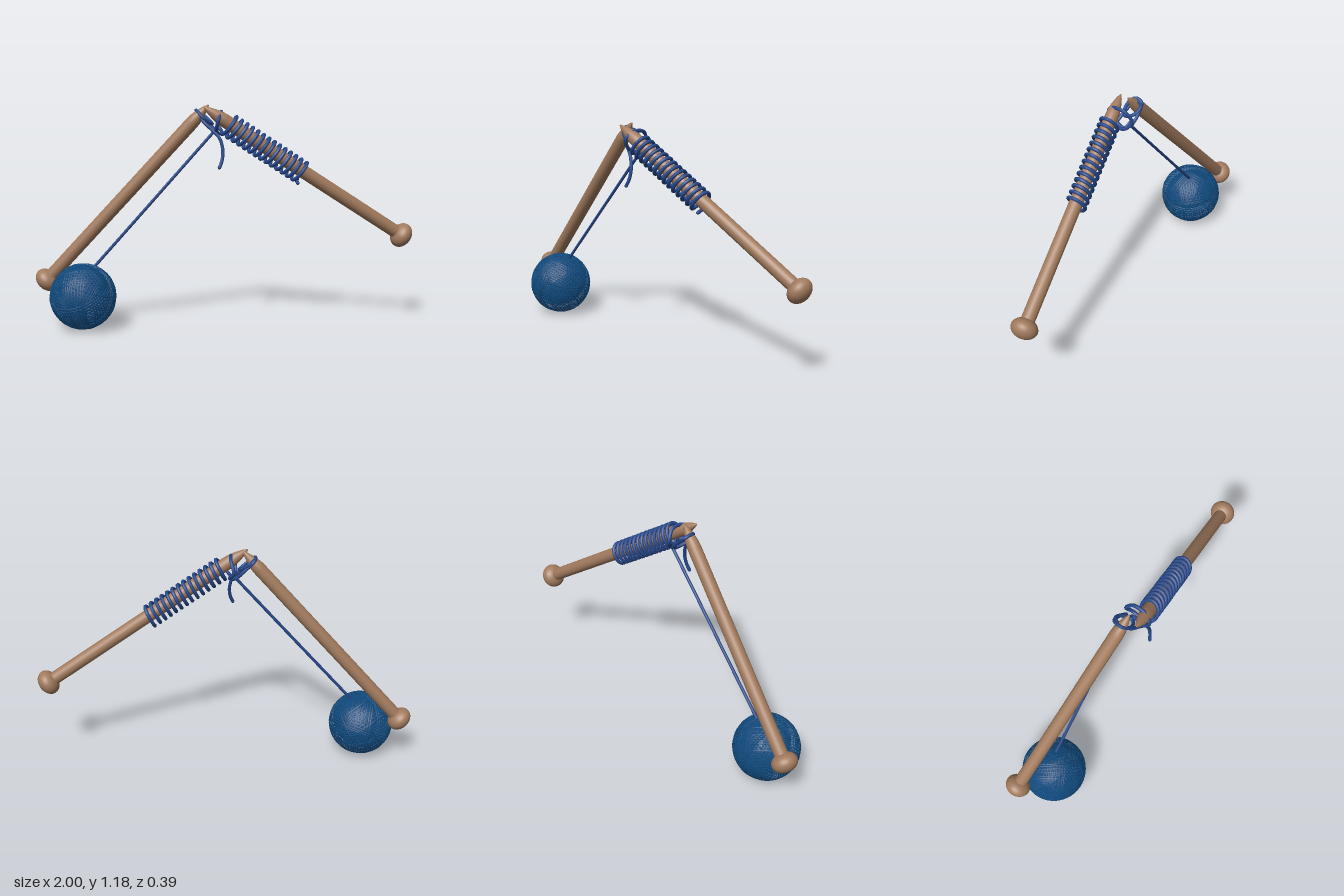
import * as THREE from 'three';

const V = (x, y, z) => new THREE.Vector3(x, y, z);
const UP = V(0, 1, 0);

export function createModel() {
  const model = new THREE.Group();
  model.name = 'knittingSet';

  const material = (name, color) => {
    const m = new THREE.MeshStandardMaterial({ color });
    m.name = name;
    return m;
  };
  const wood = material('wood', 0xa27b5e);
  const ballBlue = material('ballBlue', 0x0f4c81);
  const yarnBlue = material('yarnBlue', 0x27488a);

  const add = (parent, name, geometry, mat) => {
    const mesh = new THREE.Mesh(geometry, mat);
    mesh.name = name;
    parent.add(mesh);
    return mesh;
  };

  // Needle: flattened knob at one end, straight shaft, pointed tip
  const needle = (name, knob, tip) => {
    const g = new THREE.Group();
    g.name = name;
    const length = knob.distanceTo(tip);
    const profile = [
      [0, 0], [0.035, 0], [0.035, length - 0.13], [0.033, length - 0.1],
      [0.026, length - 0.065], [0.014, length - 0.025], [0.004, length - 0.003], [0, length],
    ].map(([r, y]) => new THREE.Vector2(r, y));
    add(g, 'shaft', new THREE.LatheGeometry(profile, 24), wood);
    add(g, 'knob', new THREE.SphereGeometry(0.068, 28, 18), wood).scale.y = 0.75;
    g.position.copy(knob);
    g.quaternion.setFromUnitVectors(UP, tip.clone().sub(knob).normalize());
    model.add(g);
  };
  const knobB = V(0.944, 0.475, 0.115);
  const tipB = V(-0.135, 1.168, 0.146);
  needle('backNeedle', V(-0.939, 0.248, -0.12), V(-0.1, 1.178, 0.09));
  needle('frontNeedle', knobB, tipB);

  // Yarn ball: core wrapped by bands of parallel strands on several axes
  const ball = new THREE.Group();
  ball.name = 'yarnBall';
  ball.position.set(-0.755, 0.176, -0.01);
  model.add(ball);
  add(ball, 'core', new THREE.SphereGeometry(0.17, 48, 32), ballBlue);
  const axes = 9;
  for (let a = 0; a < axes; a++) {
    const y = 1 - (a + 0.5) / axes;
    const r = Math.sqrt(1 - y * y);
    const band = new THREE.Group();
    band.name = 'windingBand';
    band.quaternion.setFromUnitVectors(V(0, 0, 1), V(r * Math.cos(a * 2.4), y, r * Math.sin(a * 2.4)));
    ball.add(band);
    for (let i = -4; i <= 4; i++) {
      const d = i * 0.0135;
      const radius = Math.sqrt(0.1685 ** 2 - d * d);
      const strand = add(band, 'winding', new THREE.TorusGeometry(radius, 0.005, 5, 56), ballBlue);
      strand.position.z = d;
      strand.rotation.set(0.03 * Math.sin(a + i), 0.03 * Math.cos(a * 2 + i), 0);
    }
  }

  // Loose yarn is a tube along a smooth path, closed by round ends
  const yarn = (name, points, segments, radius = 0.009) => {
    const g = new THREE.Group();
    g.name = name;
    const path = new THREE.CatmullRomCurve3(points);
    add(g, 'strand', new THREE.TubeGeometry(path, segments, radius, 8), yarnBlue);
    for (const p of [points[0], points[points.length - 1]]) {
      add(g, 'strandEnd', new THREE.SphereGeometry(radius, 8, 6), yarnBlue).position.copy(p);
    }
    model.add(g);
  };

  // Taut strand from the ball to the knot
  yarn('tautStrand', [V(-0.72, 0.3, -0.026), V(-0.39, 0.672, 0.012), V(-0.06, 1.045, 0.05)], 24, 0.008);

  // Knot around the back needle, running out into the hanging tail
  yarn('knotAndTail', [
    V(-0.06, 1.045, 0.05), V(-0.1, 1.09, 0.034), V(-0.15, 1.138, 0.036), V(-0.162, 1.148, 0.08),
    V(-0.13, 1.11, 0.115), V(-0.085, 1.08, 0.1), V(-0.09, 1.095, 0.052), V(-0.13, 1.13, 0.03),
    V(-0.155, 1.135, 0.07), V(-0.125, 1.085, 0.116), V(-0.09, 1.05, 0.135), V(-0.055, 1.01, 0.155),
    V(-0.04, 0.95, 0.168), V(-0.045, 0.9, 0.177), V(-0.06, 0.862, 0.185),
  ], 130);

  // Cast-on stitches: a link from the knot, then a coil around the front needle
  const along = knobB.clone().sub(tipB).normalize();
  const side = along.clone().cross(UP).normalize();
  const over = side.clone().cross(along).normalize();
  const points = [
    V(-0.085, 1.06, 0.06), V(-0.05, 1.03, 0.085), V(-0.07, 1.05, 0.15), V(-0.065, 1.1, 0.18),
    V(-0.045, 1.138, 0.145), V(-0.035, 1.135, 0.075), V(-0.045, 1.08, 0.04), V(-0.03, 1.04, 0.07),
  ];
  const turns = 14, steps = 12;
  for (let i = 0; i <= turns * steps; i++) {
    const angle = -Math.PI / 2 + (i / steps) * Math.PI * 2;
    points.push(tipB.clone()
      .addScaledVector(along, 0.155 + 0.48 * (i / (turns * steps)))
      .addScaledVector(over, 0.058 * Math.sin(angle) - 0.008)
      .addScaledVector(side, 0.047 * Math.cos(angle)));
  }
  yarn('castOnStitches', points, 520, 0.0095);

  return model;
}
